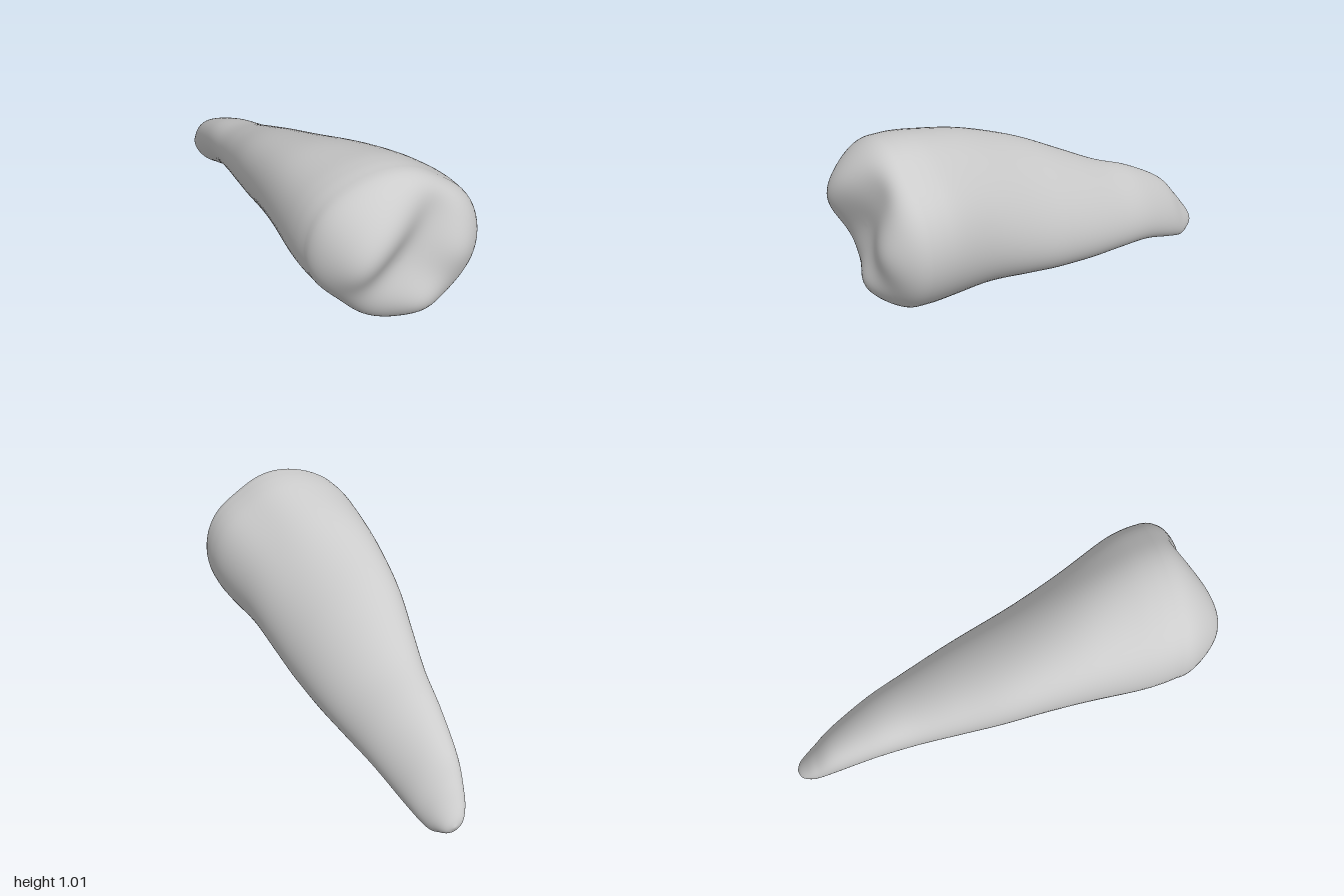
import * as THREE from 'three';
import { mergeVertices } from 'three/addons/utils/BufferGeometryUtils.js';

const SIDES = 72, BODY_RINGS = 90, CAP_RINGS = 32;

// Cross-sections from root tip to crown: z, xMin, xMax, yMin, yMax
const sections = [
  [-1.0, -0.275, -0.265, 0.065, 0.075],
  [-0.985, -0.31, -0.23, 0.035, 0.11],
  [-0.95, -0.333, -0.2, 0.015, 0.16],
  [-0.9, -0.346, -0.168, 0.0, 0.225],
  [-0.8, -0.355, -0.115, 0.035, 0.335],
  [-0.6, -0.355, -0.03, 0.11, 0.455],
  [-0.4, -0.356, 0.04, 0.145, 0.54],
  [-0.2, -0.37, 0.105, 0.17, 0.645],
  [0.0, -0.384, 0.16, 0.2, 0.75],
  [0.2, -0.385, 0.212, 0.235, 0.84],
  [0.4, -0.385, 0.272, 0.262, 0.92],
  [0.6, -0.385, 0.35, 0.268, 0.98],
  [0.7, -0.379, 0.376, 0.27, 1.0],
  [0.78, -0.366, 0.385, 0.277, 1.005],
];
const RIM_Z = 0.78;

// Cusps (positive) and groove pits (negative) on the chewing face: x, y, height, spread
const bumps = [
  [-0.12, 0.8, 0.075, 0.2],
  [-0.24, 0.68, 0.05, 0.14],
  [0.09, 0.4, 0.06, 0.12],
  [0.28, 0.62, 0.035, 0.13],
  [0.16, 0.88, -0.035, 0.12],
  [0.08, 0.77, -0.035, 0.12],
  [0.0, 0.67, -0.04, 0.12],
  [-0.1, 0.59, -0.025, 0.12],
];

// Crown outline: flats at upper right and lower left, fuller at upper left: angle, amount, width
const outline = [
  [0.95, -0.05, 0.35],
  [2.5, 0.03, 0.4],
  [3.87, -0.11, 0.45],
];

function createToothGeometry() {
  const spanX = new THREE.CatmullRomCurve3(sections.map(([z, a, b]) => new THREE.Vector3(a, b, z)), false, 'catmullrom');
  const spanY = new THREE.CatmullRomCurve3(sections.map(([z, , , c, d]) => new THREE.Vector3(c, d, z)), false, 'catmullrom');
  const positions = [], index = [];

  // Slanted oval in the root, changing to the crown outline
  const addRing = (t, scale, heightAt) => {
    const h = spanX.getPoint(t), v = spanY.getPoint(t);
    const cx = (h.x + h.y) / 2, cy = (v.x + v.y) / 2;
    const crown = THREE.MathUtils.smoothstep(h.z, 0, 0.7);
    const slant = THREE.MathUtils.lerp(-0.4, -0.06, crown);
    for (let j = 0; j < SIDES; j++) {
      const a = (j / SIDES) * Math.PI * 2;
      let r = scale;
      for (const [angle, amount, width] of outline) {
        r += scale * crown * amount * Math.exp(-(((a - angle) / width) ** 2));
      }
      const x = cx + r * (h.y - h.x) / 2 * Math.cos(a);
      const y = cy + r * (v.y - v.x) / 2 * Math.sin(a + slant);
      positions.push(x, y, heightAt ? heightAt(x, y, scale) : h.z);
    }
  };

  // Domed chewing face with cusps and a diagonal groove
  const crownHeight = (x, y, s) => {
    const fade = 1 - s ** 4;
    let z = RIM_Z + 0.14 * Math.sqrt(Math.max(0, fade));
    for (const [bx, by, height, spread] of bumps) {
      z += fade * height * Math.exp(-((x - bx) ** 2 + (y - by) ** 2) / spread ** 2);
    }
    return z;
  };

  addRing(0, 0); // closes the root tip
  for (let i = 0; i <= BODY_RINGS; i++) addRing(i / BODY_RINGS, 1);
  for (let i = 1; i <= CAP_RINGS; i++) {
    const u = i / CAP_RINGS;
    addRing(1, i === CAP_RINGS ? 0 : 1 - u ** 1.6, crownHeight);
  }

  const rings = positions.length / 3 / SIDES;
  for (let i = 0; i < rings - 1; i++) {
    for (let j = 0; j < SIDES; j++) {
      const k = (j + 1) % SIDES;
      const a = i * SIDES + j, b = i * SIDES + k;
      index.push(a, b, b + SIDES, a, b + SIDES, a + SIDES);
    }
  }

  const geometry = new THREE.BufferGeometry();
  geometry.setAttribute('position', new THREE.Float32BufferAttribute(positions, 3));
  geometry.setIndex(index);
  const merged = mergeVertices(geometry, 1e-5);
  merged.computeVertexNormals();
  return merged;
}

export function createModel() {
  const group = new THREE.Group();
  group.name = 'tooth';
  const enamel = new THREE.MeshStandardMaterial({ color: 0xcccccc });
  enamel.name = 'light grey';

  // Crown and single tapering root in one smooth skin
  const tooth = new THREE.Mesh(createToothGeometry(), enamel);
  tooth.name = 'crownAndRoot';
  group.add(tooth);
  return group;
}
